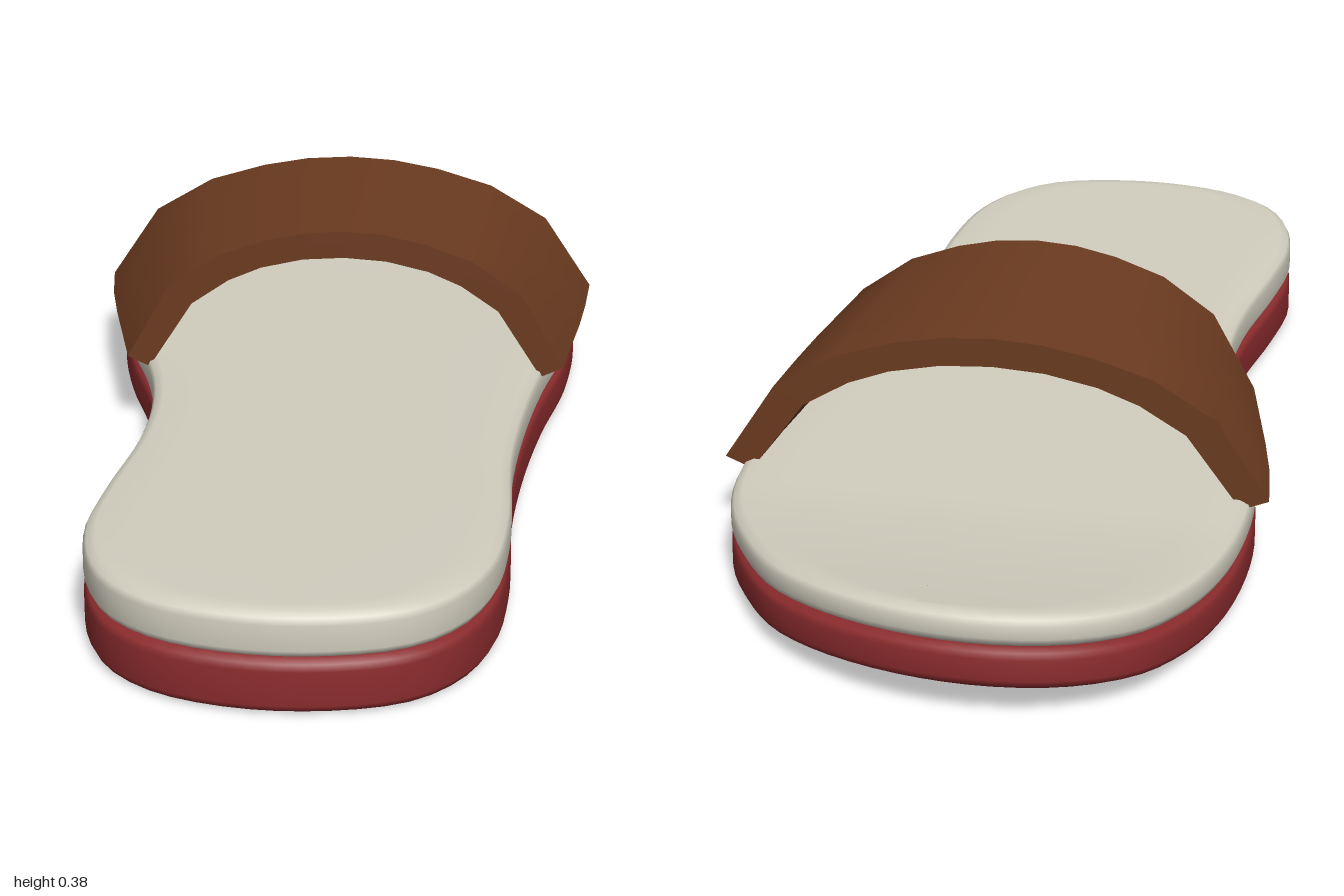
import * as THREE from 'three';
import { toCreasedNormals } from 'three/addons/utils/BufferGeometryUtils.js';

// Footprint as [x, z], from the toe round the +x side to the heel and back
const FOOTPRINT = [
  [-0.08, -1], [0.08, -0.965], [0.24, -0.86], [0.345, -0.71], [0.4, -0.58], [0.42, -0.44],
  [0.405, -0.22], [0.365, -0.02], [0.338, 0.16], [0.32, 0.37], [0.32, 0.62], [0.3, 0.78],
  [0.25, 0.89], [0.17, 0.96], [-0.01, 0.995], [-0.18, 0.96], [-0.27, 0.89], [-0.315, 0.8],
  [-0.335, 0.68], [-0.325, 0.54], [-0.3, 0.35], [-0.295, 0.2], [-0.307, 0.08], [-0.33, -0.02],
  [-0.375, -0.16], [-0.41, -0.32], [-0.42, -0.45], [-0.408, -0.62], [-0.37, -0.78],
  [-0.31, -0.9], [-0.21, -0.975],
];
const OUTLINE = new THREE.CatmullRomCurve3(
  FOOTPRINT.map(([x, z]) => new THREE.Vector3(x, 0, z)), true, 'centripetal');
const SEGMENTS = 120;

// Heights of the layer boundaries along the length, lifting towards the toe
const toeLift = (z) => 0.051 * Math.pow(Math.max(0, (-0.55 - z) / 0.45), 1.6);
const groundY = (z) => toeLift(z);
const soleTopY = (z) => 0.079 + 0.011 * z + toeLift(z);
const insoleTopY = (z) => 0.143 + 0.022 * z + toeLift(z);

// Indexed surface through rows of points; rows may be closed into rings
function loft(rows, closed) {
  const n = rows[0].length;
  const index = [];
  for (let r = 0; r < rows.length - 1; r++) {
    for (let i = 0; i < (closed ? n : n - 1); i++) {
      const a = r * n + i, b = r * n + (i + 1) % n;
      index.push(a, a + n, b + n, a, b + n, b);
    }
  }
  const geometry = new THREE.BufferGeometry();
  geometry.setAttribute('position', new THREE.Float32BufferAttribute(rows.flat(2), 3));
  geometry.setIndex(index);
  geometry.computeVertexNormals();
  return geometry;
}

// Footprint slab with rounded rims between two height functions
function slab(bottomY, topY) {
  // Each ring: inset from the outline, height from bottom or top, width factor
  const rings = [
    [0.03, bottomY, 0, 0], [0.03, bottomY, 0, 0.8], [0.018, bottomY, 0, 1],
    [0.005, bottomY, 0.006, 1], [0, bottomY, 0.016, 1], [0, topY, -0.018, 1],
    [0.005, topY, -0.008, 1], [0.019, topY, -0.001, 1], [0.035, topY, 0, 0.85], [0.035, topY, 0, 0],
  ];
  const rows = rings.map(([inset, height, dy, width]) => {
    const row = [];
    for (let i = 0; i < SEGMENTS; i++) {
      const p = OUTLINE.getPointAt(i / SEGMENTS), t = OUTLINE.getTangentAt(i / SEGMENTS);
      const x = (p.x - t.z * inset) * width, z = p.z + t.x * inset;
      row.push([x, height(z) + dy, z]);
    }
    return row;
  });
  return loft(rows, true);
}

// Arched strap: one closed cross-section repeated at stations along z
function strapGeometry() {
  const outer = [[1, 0.143], [0.81, 0.273], [0.58, 0.335], [0.36, 0.365], [0.18, 0.38], [0, 0.385]];
  const inner = [[0.9, 0.125], [0.7, 0.245], [0.53, 0.29], [0.38, 0.315], [0.19, 0.332], [0, 0.337]];
  const arch = (half) => [
    ...half.map(([u, y]) => [-u, y]), ...half.slice(0, -1).reverse(),
  ];
  const section = [...arch(outer), ...arch(inner).reverse()];
  // Stations: z, centre x, half width, drop
  const stations = [
    [-0.45, 0, 0.448, 0.01], [-0.34, 0.003, 0.437, 0.0075],
    [-0.235, 0.008, 0.421, 0.005], [-0.015, 0.018, 0.381, 0],
  ];
  const rows = stations.map(([z, cx, half, drop]) =>
    section.map(([u, y]) => [cx + u * half, y - drop, z]));

  // Close both edges by collapsing each section onto its mid-thickness line
  const n = section.length;
  const collapse = (row) => row.map((p, i) => p.map((v, k) => (v + row[n - 1 - i][k]) / 2));
  const all = [collapse(rows[0]), ...rows, collapse(rows[rows.length - 1])];
  return toCreasedNormals(loft(all.map((row) => row.slice().reverse()), true), 0.65);
}

export function createModel() {
  const material = (name, color) => {
    const m = new THREE.MeshStandardMaterial({ color });
    m.name = name;
    return m;
  };
  const red = material('red rubber', 0x8c2c2e);
  const cream = material('cream footbed', 0xd2cebf);
  const brown = material('brown leather', 0x6b3b20);
  brown.side = THREE.DoubleSide;

  const model = new THREE.Group();
  model.name = 'sandal';
  const add = (name, geometry, mat) => {
    const mesh = new THREE.Mesh(geometry, mat);
    mesh.name = name;
    model.add(mesh);
  };
  add('outsole', slab(groundY, soleTopY), red);
  add('insole', slab(soleTopY, insoleTopY), cream);
  add('strap', strapGeometry(), brown);
  return model;
}
